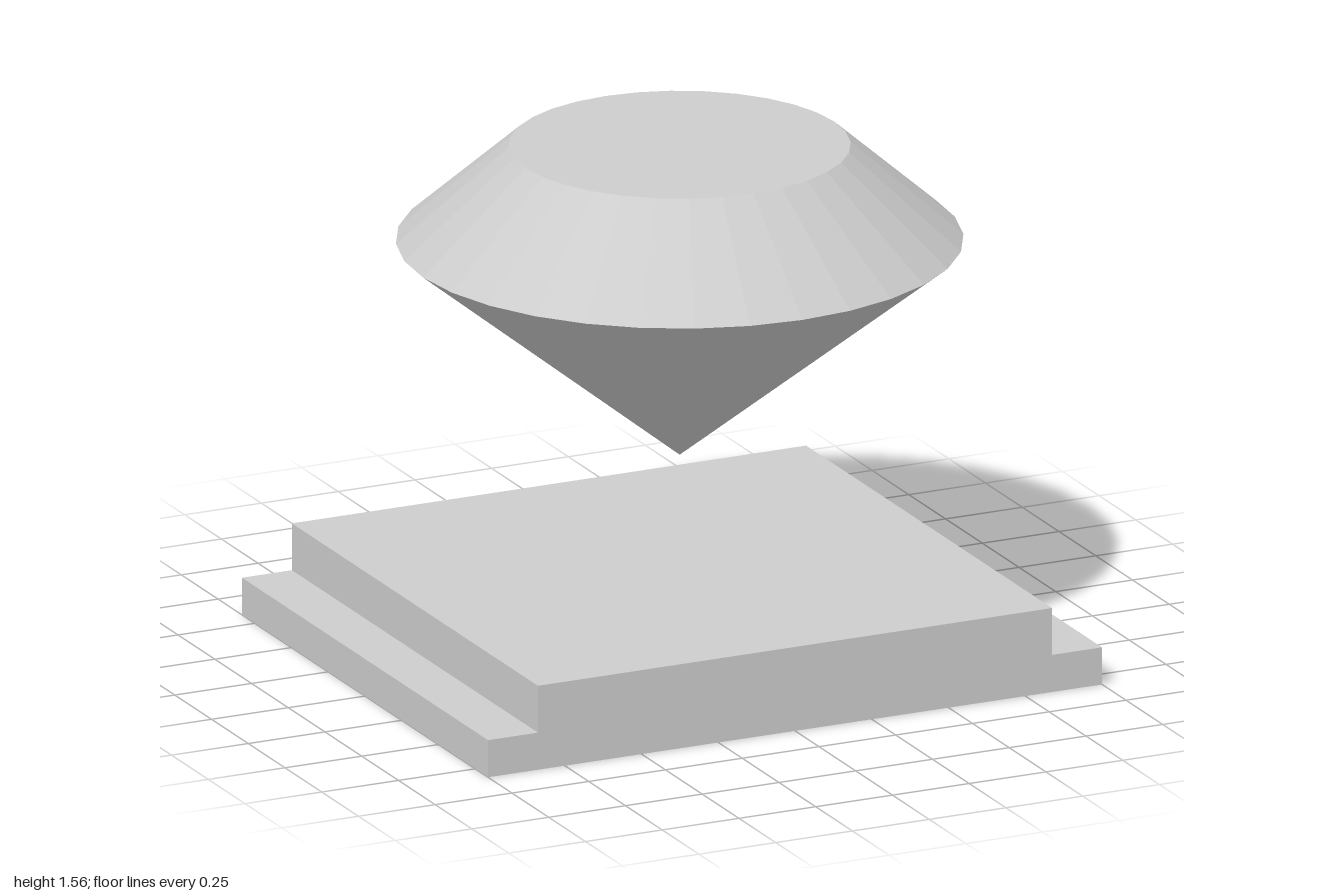
import * as THREE from 'three';

export function createModel() {
  const model = new THREE.Group();
  model.name = 'gemOnPedestal';
  const grey = new THREE.MeshStandardMaterial({ color: 0xcccccc, flatShading: true });
  grey.name = 'light grey';

  const add = (name, geometry, x, y, z, parent = model) => {
    const mesh = new THREE.Mesh(geometry, grey);
    mesh.name = name;
    mesh.position.set(x, y, z);
    parent.add(mesh);
    return mesh;
  };

  // Pedestal: a raised slab with a low step along each side
  const half = 0.8375, slabHeight = 0.26, stepHeight = 0.115;
  const stepWidth = 1 - half;
  add('pedestalSlab', new THREE.BoxGeometry(half * 2, slabHeight, half * 2), 0, slabHeight / 2, 0);
  for (const [name, side] of [['leftStep', 1], ['rightStep', -1]]) {
    add(name, new THREE.BoxGeometry(stepWidth, stepHeight, half * 2),
      side * (half + stepWidth / 2), stepHeight / 2, 0);
  }

  // Floating gem: truncated cone crown over a pointed pavilion
  const gem = new THREE.Group();
  gem.name = 'gem';
  gem.position.x = 0.025;
  model.add(gem);
  const tip = 0.6, girdle = 1.268, top = 1.56, radius = 0.835, sides = 32;
  add('gemCrown', new THREE.CylinderGeometry(0.503, radius, top - girdle, sides, 1, true),
    0, (top + girdle) / 2, 0, gem);
  add('gemTable', new THREE.CircleGeometry(0.503, sides).rotateX(-Math.PI / 2), 0, top, 0, gem);
  add('gemPavilion', new THREE.CylinderGeometry(radius, 0, girdle - tip, sides, 1, true),
    0, (girdle + tip) / 2, 0, gem);

  return model;
}
